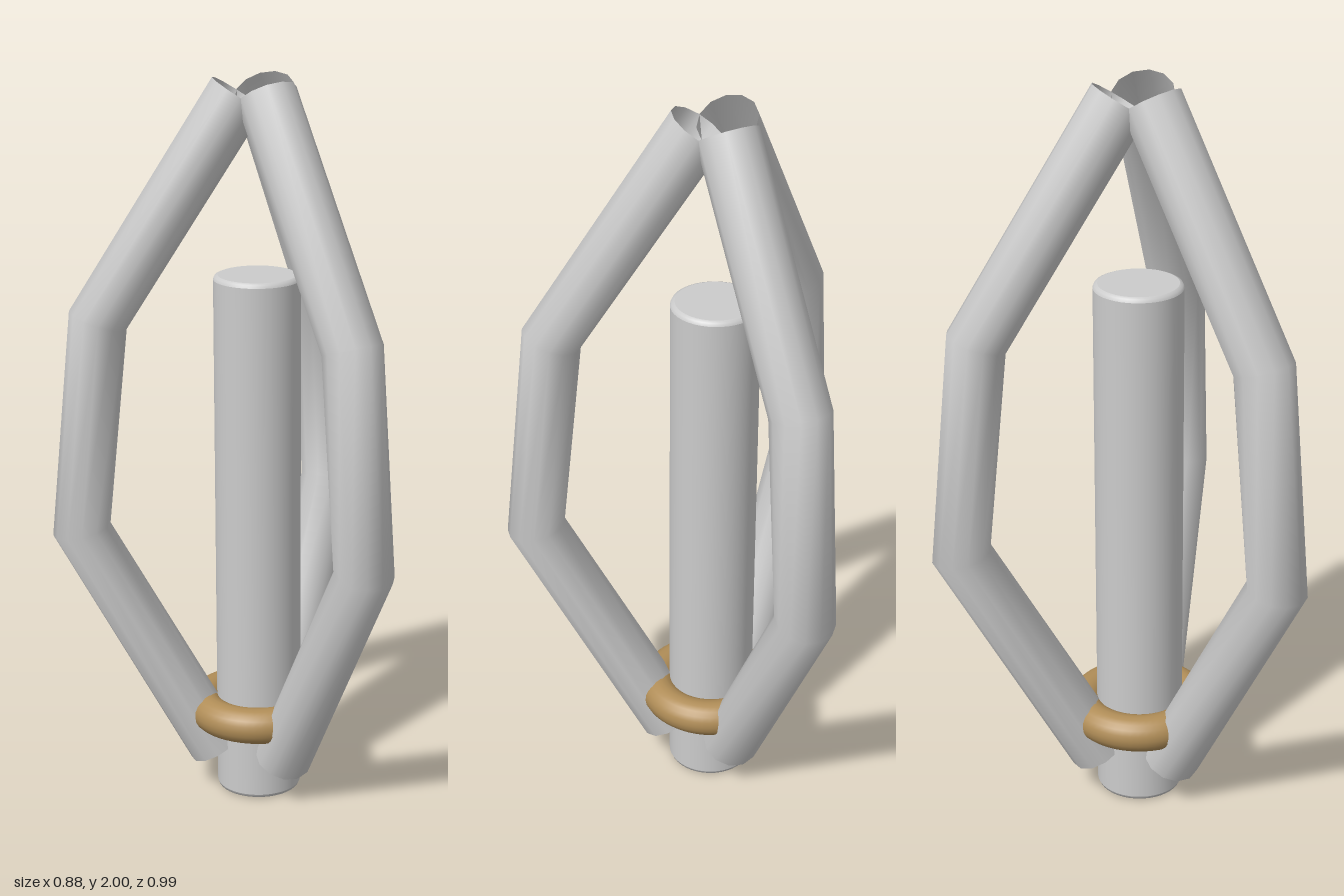
import * as THREE from 'three';

const AXIS_X = -0.12;
const ARM_R = 0.08;

// Open bent tube in the xy plane; points run from the top end to the bottom end.
function bentTube(points, radius) {
  const sides = 12;
  const geo = new THREE.CylinderGeometry(radius, radius, 1, sides, points.length - 1, true);
  const pos = geo.attributes.position, nor = geo.attributes.normal;
  const p = points.map(([x, y]) => new THREE.Vector2(x, y));
  const dirs = p.slice(1).map((b, i) => p[i].clone().sub(b).normalize());
  for (let i = 0; i < pos.count; i++) {
    const row = Math.floor(i / (sides + 1));
    // each ring lies square to the mean of its neighbouring directions
    const t = dirs[Math.max(row - 1, 0)].clone().add(dirs[Math.min(row, dirs.length - 1)]).normalize();
    const out = pos.getX(i), z = pos.getZ(i);
    pos.setXYZ(i, p[row].x + out * t.y, p[row].y - out * t.x, z);
    nor.setXYZ(i, (out * t.y) / radius, (-out * t.x) / radius, z / radius);
  }
  return geo;
}

// Solid round bar with slightly bevelled rims.
function roundedBar(r, h, b) {
  const group = new THREE.Group();
  const profile = [[0, 0], [r - b, 0], [r - b, 0], [r - b * 0.3, b * 0.3], [r, b], [r, b],
    [r, h - b], [r, h - b], [r - b * 0.3, h - b * 0.3], [r - b, h], [r - b, h], [0, h]];
  // separate strips keep the flat ends and the wall crisp
  for (const [a, e] of [[0, 2], [2, 5], [5, 7], [7, 10], [10, 12]]) {
    const pts = profile.slice(a, e).map(([x, y]) => new THREE.Vector2(x, y));
    group.add(new THREE.Mesh(new THREE.LatheGeometry(pts, 40)));
  }
  return group;
}

export function createModel() {
  const model = new THREE.Group();
  const grey = new THREE.MeshStandardMaterial({ color: 0xcccccc });
  const greyOpen = new THREE.MeshStandardMaterial({ color: 0xcccccc, side: THREE.DoubleSide });
  const brass = new THREE.MeshStandardMaterial({ color: 0xb08d57 });

  // Central rod
  const rod = roundedBar(0.117, 1.48, 0.012);
  rod.name = 'centralRod';
  rod.children.forEach((m, i) => { m.material = grey; m.name = 'rodSurface' + (i + 1); });
  rod.position.x = AXIS_X;
  model.add(rod);

  // Collar ring round the rod
  const ring = new THREE.Mesh(new THREE.TorusGeometry(0.15, 0.05, 20, 56), brass);
  ring.name = 'collarRing';
  ring.rotation.x = Math.PI / 2;
  ring.position.set(AXIS_X, 0.24, 0);
  model.add(ring);

  // Three bent cage arms, open at both ends
  const armGeo = bentTube([[0.047, 1.957], [0.423, 1.365], [0.482, 0.78], [0.12, 0.12]], ARM_R);
  for (let i = 0; i < 3; i++) {
    const arm = new THREE.Mesh(armGeo, greyOpen);
    arm.name = 'cageArm' + (i + 1);
    arm.position.x = AXIS_X;
    arm.rotation.y = (i * Math.PI * 2) / 3;
    model.add(arm);
  }
  return model;
}
